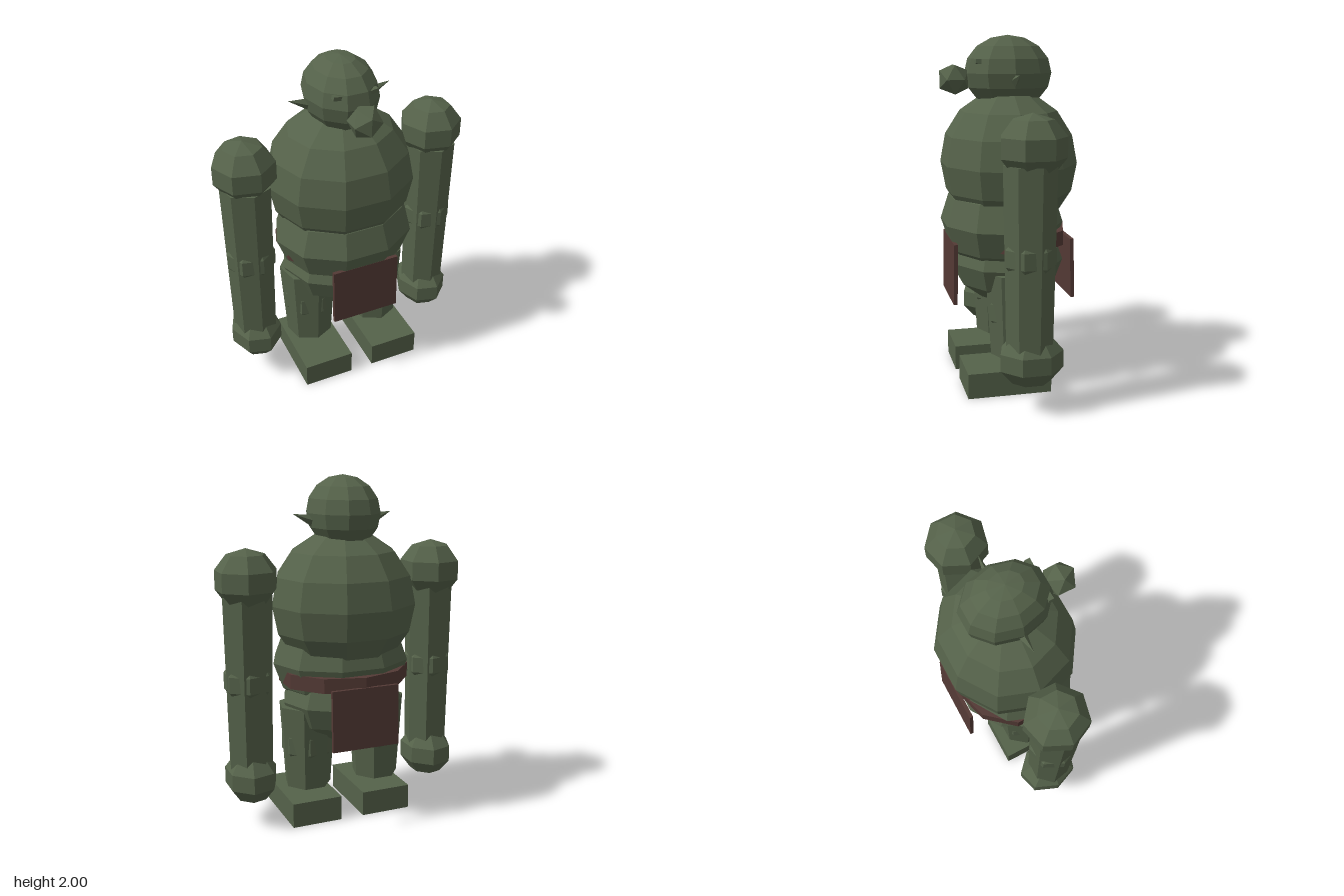
import * as THREE from 'three';

const skin = new THREE.MeshStandardMaterial({ color: 0x55624a });
skin.name = 'greenSkin';
const leather = new THREE.MeshStandardMaterial({ color: 0x543a35 });
leather.name = 'brownLeather';

export function createModel() {
  const model = new THREE.Group();
  model.name = 'troll';

  // Adds a faceted mesh with its own face normals
  function add(name, geometry, material, x, y, z) {
    const g = geometry.index ? geometry.toNonIndexed() : geometry;
    g.computeVertexNormals();
    const mesh = new THREE.Mesh(g, material);
    mesh.name = name;
    mesh.position.set(x, y, z);
    model.add(mesh);
    return mesh;
  }
  const ball = (rx, ry, rz, sides, rows) =>
    new THREE.SphereGeometry(1, sides, rows).scale(rx, ry, rz);

  // Torso
  add('chest', ball(0.43, 0.42, 0.395, 10, 8), skin, 0, 1.28, -0.012);
  add('belly', ball(0.415, 0.3, 0.355, 10, 6), skin, 0, 0.94, 0.03);
  add('pelvis', ball(0.365, 0.25, 0.33, 10, 6), skin, 0, 0.71, 0);

  // Head and face
  add('head', ball(0.205, 0.21, 0.252, 10, 8), skin, 0, 1.79, -0.01);
  add('nose', new THREE.IcosahedronGeometry(0.095, 0), skin, 0, 1.755, 0.3);

  // Belt and loincloth
  add('belt', new THREE.CylinderGeometry(1, 1, 0.085, 10).scale(0.385, 1, 0.325), leather, 0, 0.865, -0.02);
  add('frontCloth', new THREE.BoxGeometry(0.4, 0.35, 0.022), leather, 0.005, 0.675, 0.334).rotation.x = -0.02;
  add('backCloth', new THREE.BoxGeometry(0.4, 0.35, 0.022), leather, 0.005, 0.675, -0.347).rotation.x = 0.03;

  for (const s of [-1, 1]) {
    const side = s > 0 ? 'left' : 'right';

    // Eyes and pointed ears
    const eye = add(side + 'Eye', new THREE.BoxGeometry(0.055, 0.022, 0.03), skin, s * 0.1, 1.855, 0.18);
    eye.rotation.z = s * 0.15;
    const ear = new THREE.ConeGeometry(0.035, 0.13, 4).scale(1, 1, 0.75);
    add(side + 'Ear', ear, skin, s * 0.237, 1.768, -0.01).rotation.z = -s * 1.25;

    // Arms
    const ax = s * 0.57 + 0.005;
    add(side + 'Shoulder', ball(0.185, 0.175, 0.19, 7, 5), skin, ax, 1.44, -0.012);
    add(side + 'Arm', new THREE.CylinderGeometry(0.145, 0.128, 1.0, 7), skin, ax, 0.85, 0);
    add(side + 'Elbow', ball(0.148, 0.148, 0.148, 7, 5), skin, ax, 0.865, 0);
    add(side + 'Fist', ball(0.157, 0.155, 0.187, 7, 5), skin, ax, 0.295, -0.008);

    // Legs
    const lx = s * 0.22 + 0.005;
    add(side + 'Leg', new THREE.CylinderGeometry(0.17, 0.138, 0.49, 7), skin, lx, 0.445, 0);
    add(side + 'Knee', ball(0.158, 0.158, 0.158, 7, 5), skin, lx, 0.46, 0);
    add(side + 'Foot', new THREE.BoxGeometry(0.3, 0.145, 0.48), skin, s * 0.22 + 0.01, 0.075, 0.06);
  }
  return model;
}
